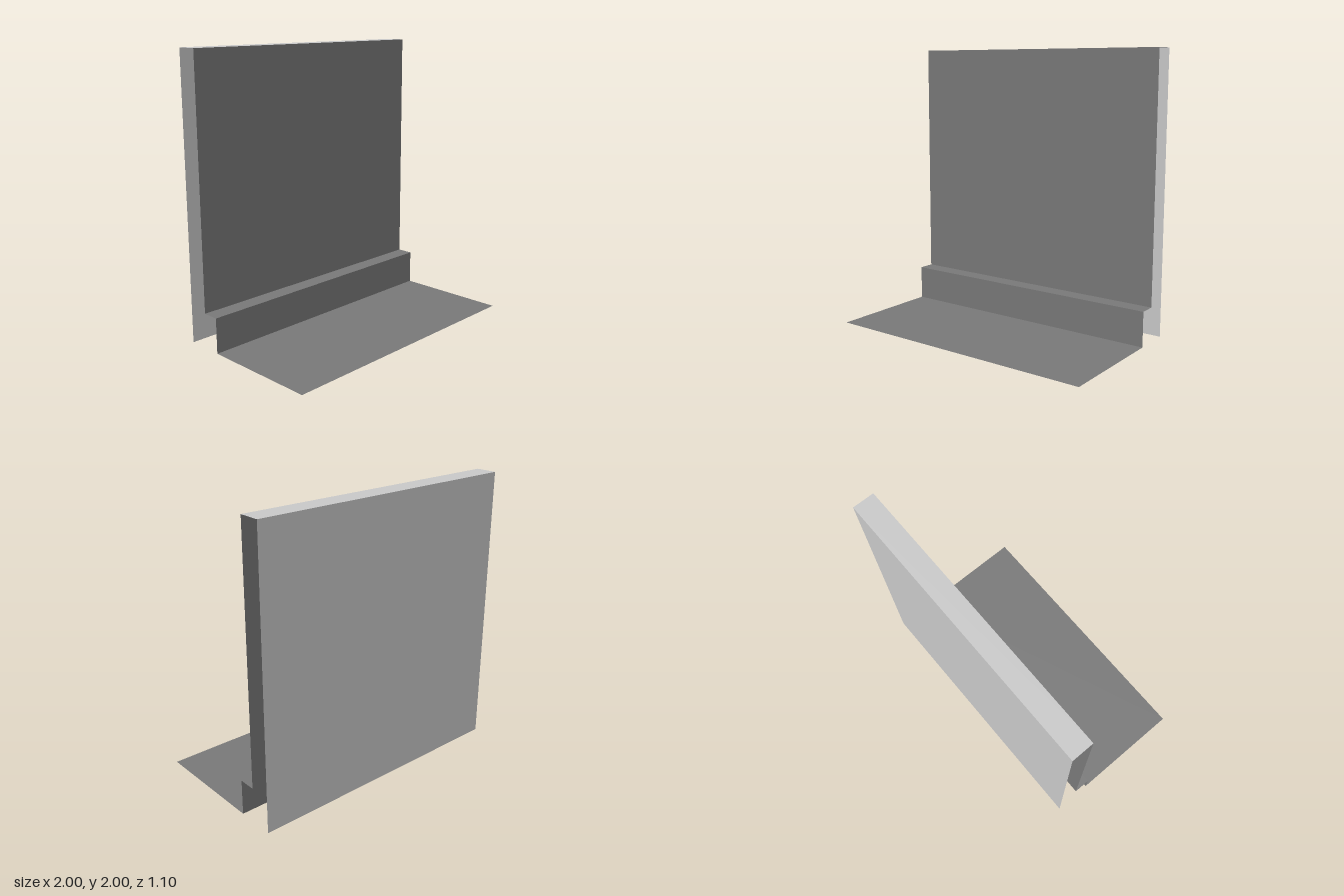
import * as THREE from 'three';

export function createModel() {
  const group = new THREE.Group();
  group.name = 'steppedBackdrop';

  const darkGrey = new THREE.MeshStandardMaterial({ color: 0x787878, side: THREE.DoubleSide });
  darkGrey.name = 'darkGrey';
  const lightGrey = new THREE.MeshStandardMaterial({ color: 0xc8c8c8, side: THREE.DoubleSide });
  lightGrey.name = 'lightGrey';

  const width = 2;

  // A flat sheet spanning the full width between two [y, z] profile points
  function sheet(name, [y0, z0], [y1, z1], material) {
    const geometry = new THREE.PlaneGeometry(width, Math.hypot(y1 - y0, z1 - z0));
    geometry.rotateX(Math.atan2(z1 - z0, y1 - y0));
    const mesh = new THREE.Mesh(geometry, material);
    mesh.position.set(0, (y0 + y1) / 2, (z0 + z1) / 2);
    mesh.name = name;
    group.add(mesh);
  }

  // Folded profile from the front edge of the floor, up the wall and down the back
  const profile = [[0, 0.55], [0, -0.28], [0.25, -0.28], [0.25, -0.4], [2, -0.4], [2, -0.55], [0, -0.55]];
  const parts = [
    ['floor', darkGrey],
    ['stepRiser', darkGrey],
    ['stepTread', darkGrey],
    ['frontWall', darkGrey],
    ['topCap', lightGrey],
    ['backWall', lightGrey],
  ];
  parts.forEach(([name, material], i) => sheet(name, profile[i], profile[i + 1], material));

  return group;
}
